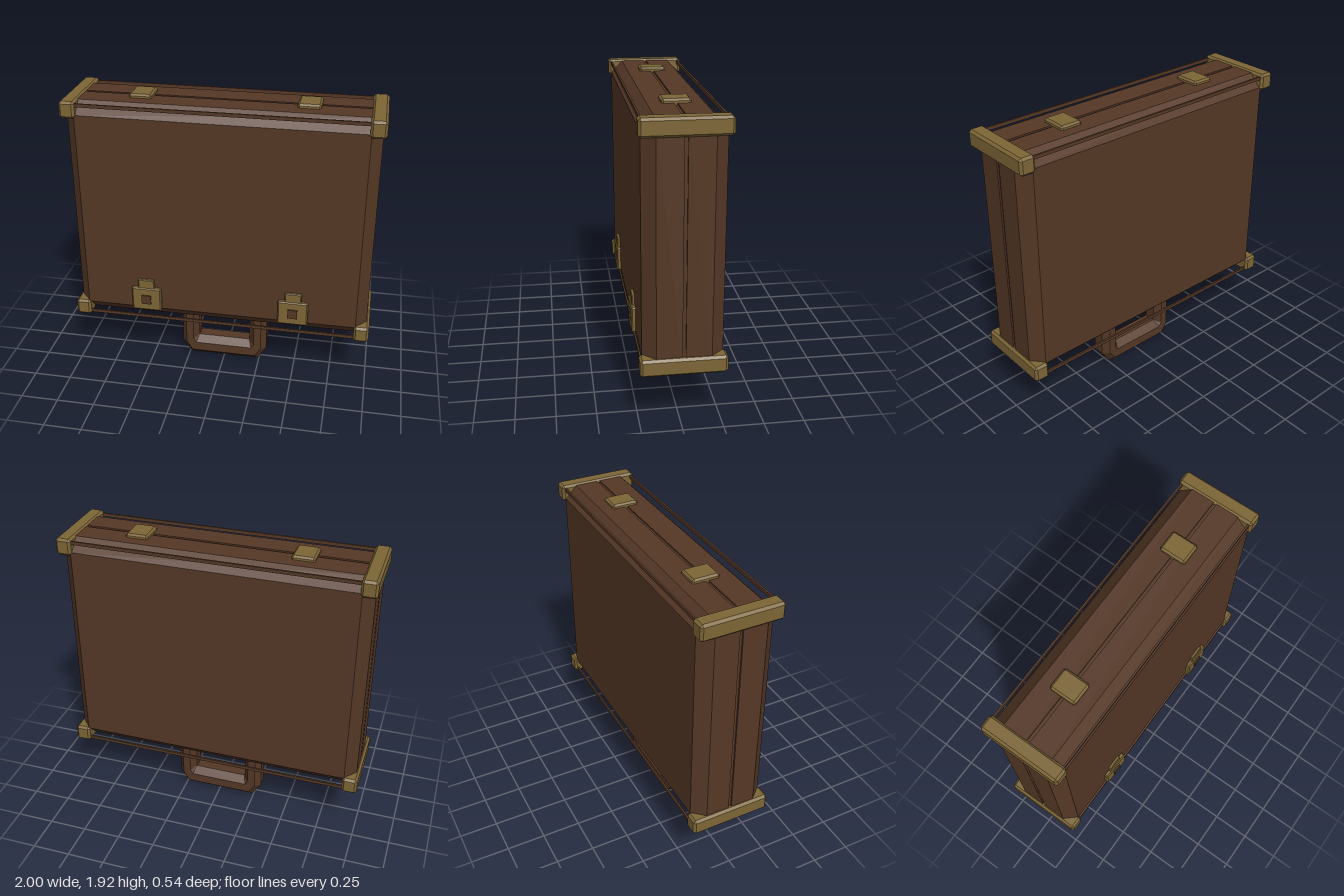
import * as THREE from 'three';
import { ConvexGeometry } from 'three/addons/geometries/ConvexGeometry.js';

const leather = new THREE.MeshStandardMaterial({ color: 0x553826 });
leather.name = 'brown leather';
const brass = new THREE.MeshStandardMaterial({ color: 0x7d6636 });
brass.name = 'aged brass';

const ZC = -0.008; // middle of the case in depth

// Faceted skin over a row of equal-length point loops, closed at both ends
function loft(loops) {
  const pos = [];
  const tri = (...pts) => pts.forEach((p) => pos.push(p.x, p.y, p.z));
  const n = loops[0].length;
  for (let s = 0; s < loops.length - 1; s++) {
    const a = loops[s], b = loops[s + 1];
    for (let i = 0; i < n; i++) {
      const j = (i + 1) % n;
      tri(a[i], a[j], b[j]);
      tri(a[i], b[j], b[i]);
    }
  }
  const first = loops[0], last = loops[loops.length - 1];
  for (let i = 1; i < n - 1; i++) {
    tri(first[0], first[i + 1], first[i]);
    tri(last[0], last[i], last[i + 1]);
  }
  const g = new THREE.BufferGeometry();
  g.setAttribute('position', new THREE.Float32BufferAttribute(pos, 3));
  g.computeVertexNormals();
  return g;
}

// Box with every edge chamfered by c
function chamferBox(w, h, d, c) {
  const pts = [];
  for (const x of [-1, 1]) for (const y of [-1, 1]) for (const z of [-1, 1]) {
    for (let k = 0; k < 3; k++) {
      pts.push(new THREE.Vector3(
        x * (w / 2 - (k === 0 ? 0 : c)),
        y * (h / 2 - (k === 1 ? 0 : c)),
        z * (d / 2 - (k === 2 ? 0 : c))));
    }
  }
  return new ConvexGeometry(pts);
}

export function createModel() {
  const model = new THREE.Group();
  model.name = 'briefcase';
  const add = (parent, name, geo, mat, x = 0, y = 0, z = 0) => {
    const m = new THREE.Mesh(geo, mat);
    m.name = name;
    m.position.set(x, y, z);
    parent.add(m);
    return m;
  };

  // Case: bevelled halves with a shallow seam between them
  const rect = (hx, hy, z) => [[1, -1], [1, 1], [-1, 1], [-1, -1]]
    .map(([x, y]) => new THREE.Vector3(x * hx, y * hy, z));
  const shell = [
    rect(0.91, 0.675, -0.243), rect(0.98, 0.755, -0.165),
    rect(0.98, 0.755, -0.01), rect(0.97, 0.745, -0.01),
    rect(0.97, 0.745, 0.01), rect(0.98, 0.755, 0.01),
    rect(0.98, 0.755, 0.165), rect(0.91, 0.675, 0.243),
  ];
  add(model, 'caseBody', loft(shell), leather, 0, 1.145, ZC);

  // Thin edge rails and brass corner bars
  const railGeo = new THREE.BoxGeometry(1.9, 0.022, 0.012);
  const cornerGeo = chamferBox(0.1, 0.11, 0.524, 0.015);
  for (const y of [0.425, 1.855]) {
    const out = Math.sign(y - 1.145);
    for (const s of [-1, 1]) {
      add(model, 'edgeRail', railGeo, leather, 0, y + out * 0.03, ZC + s * 0.239);
      add(model, 'cornerBar', cornerGeo, brass, s * 0.95, y, ZC);
    }
  }

  for (const s of [-1, 1]) {
    // Latch with hasp and keyhole
    const latch = new THREE.Group();
    latch.name = 'latch';
    latch.position.set(s * 0.495, 0, 0);
    model.add(latch);
    add(latch, 'latchPlate', chamferBox(0.2, 0.17, 0.04, 0.008), brass, 0, 0.545, 0.241);
    add(latch, 'latchHasp', chamferBox(0.11, 0.1, 0.03, 0.005), brass, 0, 0.642, 0.239);
    add(latch, 'keyhole', new THREE.BoxGeometry(0.064, 0.064, 0.009), leather, 0, 0.545, 0.2655);

    // Foot plate on the upper side
    add(model, 'footPlate', chamferBox(0.145, 0.05, 0.175, 0.012), brass, s * 0.527, 1.9, -0.012);

    // Collar where the handle meets the case
    add(model, 'handleCollar', chamferBox(0.146, 0.045, 0.21, 0.014), brass, s * 0.24, 0.383, ZC);
  }

  // Handle: octagonal grip swept through a U, given as outer and inner points
  const half = [
    [0.30, 0.39, 0.18, 0.39], [0.30, 0.09, 0.18, 0.152], [0.24, 0, 0.178, 0.15],
  ];
  const path = [...half, ...half.slice().reverse().map(([a, b, c, d]) => [-a, b, -c, d])];
  const octagon = [[1, -0.45], [1, 0.45], [0.42, 1], [-0.42, 1],
    [-1, 0.45], [-1, -0.45], [-0.42, -1], [0.42, -1]];
  const loops = path.map(([ox, oy, ix, iy]) => octagon.map(([u, w]) => new THREE.Vector3(
    (ox + ix) / 2 + u * (ox - ix) / 2,
    (oy + iy) / 2 + u * (oy - iy) / 2,
    w * 0.085)));
  add(model, 'handle', loft(loops), leather, 0, 0, ZC + 0.004);

  return model;
}
